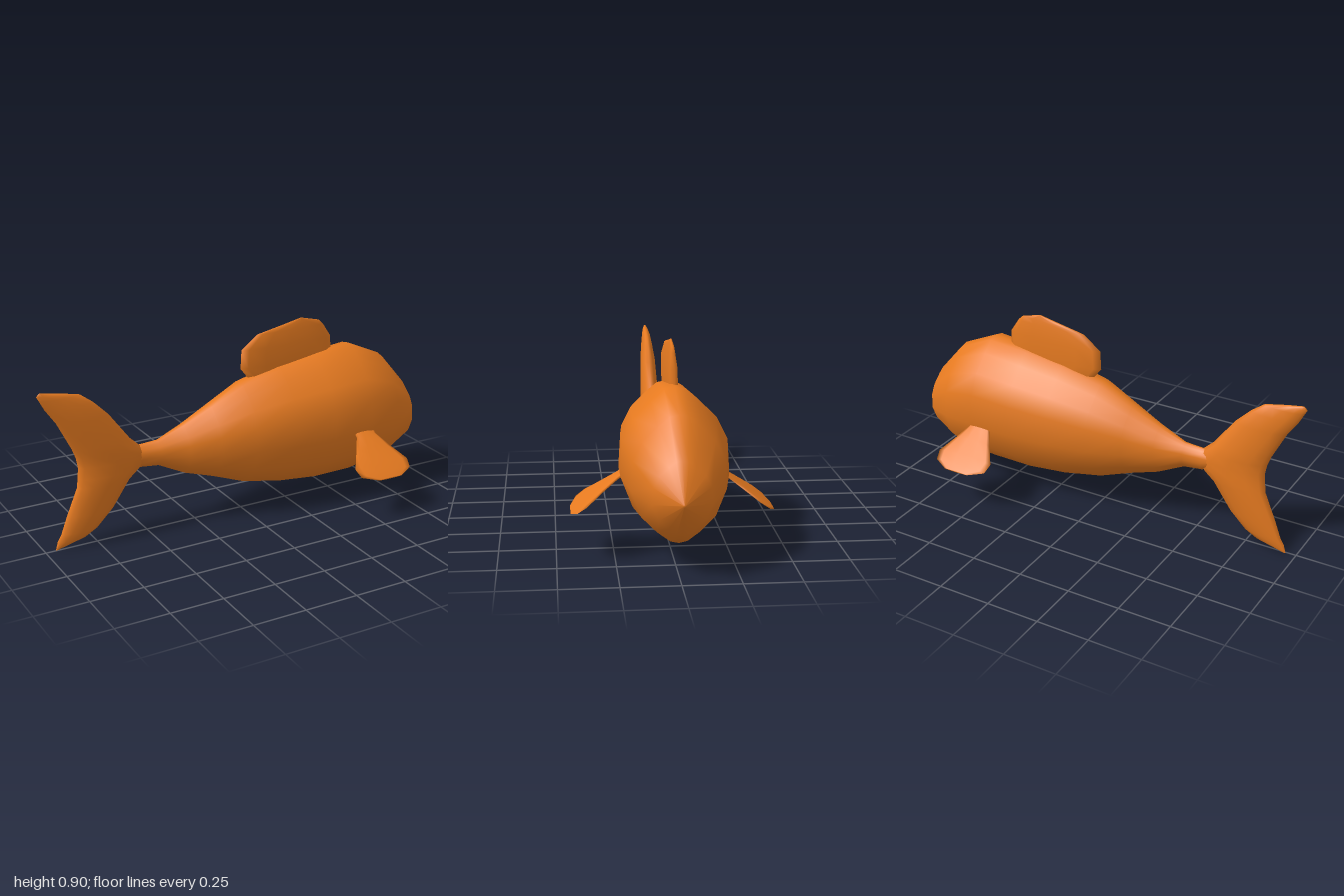
import * as THREE from 'three';

const material = new THREE.MeshStandardMaterial({ color: 0xe67a20 });

// Smooth skin through a list of rings (arrays of Vector3), closed at both ends.
function loft(name, rings) {
  const n = rings[0].length, last = rings.length - 1;
  const points = rings.flat(), index = [];
  for (let i = 0; i < last; i++) {
    for (let j = 0; j < n; j++) {
      const a = i * n + j, b = i * n + (j + 1) % n;
      index.push(a, b, a + n, b, b + n, a + n);
    }
  }
  for (const i of [0, last]) {
    const centre = new THREE.Vector3();
    rings[i].forEach(p => centre.addScaledVector(p, 1 / n));
    const c = points.push(centre) - 1;
    for (let j = 0; j < n; j++) {
      const a = i * n + j, b = i * n + (j + 1) % n;
      if (i === 0) index.push(c, b, a); else index.push(c, a, b);
    }
  }
  const geometry = new THREE.BufferGeometry().setFromPoints(points);
  geometry.setIndex(index);
  geometry.computeVertexNormals();
  const mesh = new THREE.Mesh(geometry, material);
  mesh.name = name;
  return mesh;
}

// Unit ring of a fin: power 1 is an ellipse, smaller is boxier.
function finRing(sides, power, place) {
  return Array.from({ length: sides }, (_, j) => {
    const a = j / sides * Math.PI * 2, c = Math.cos(a), s = Math.sin(a);
    return place(c, Math.sign(s) * Math.abs(s) ** power);
  });
}

// Upright fin from rows of [y, rear x, front x, half thickness].
function uprightFin(name, rows, z, power) {
  return loft(name, rows.map(([y, x0, x1, t]) => finRing(12, power, (c, s) =>
    new THREE.Vector3((x0 + x1) / 2 + c * (x1 - x0) / 2, y, z - s * t))));
}

// Body: one cross-section scaled along the length
function body() {
  const half = [[0, 1], [0.2, 0.97], [0.44, 0.82], [0.76, 0.59], [0.96, 0.3],
    [1, -0.16], [0.77, -0.59], [0.46, -0.82], [0.18, -0.97], [0, -1]];
  const section = [...half, ...half.slice(1, -1).reverse().map(([w, h]) => [-w, h])];
  // x, bottom, top, half width
  const stations = [
    [-0.6, 0.35, 0.41, 0.025], [-0.52, 0.32, 0.43, 0.034], [-0.43, 0.31, 0.435, 0.04],
    [-0.3, 0.245, 0.49, 0.083], [-0.16, 0.2, 0.56, 0.13], [0, 0.14, 0.64, 0.183],
    [0.2, 0.1, 0.69, 0.213], [0.4, 0.08, 0.72, 0.23], [0.6, 0.083, 0.74, 0.235],
    [0.78, 0.11, 0.66, 0.2], [0.92, 0.19, 0.5, 0.125], [0.995, 0.328, 0.34, 0.005],
  ];
  return loft('body', stations.map(([x, y0, y1, w]) => section.map(([u, v]) =>
    new THREE.Vector3(x, (y0 + y1) / 2 + v * (y1 - y0) / 2, -0.01 + u * w))));
}

// Side fin: a fan sloping out and down; side is +1 or -1 along z
function sideFin(name, side) {
  // z, rear x, front x, half thickness
  const rows = [[0.15, 0.5, 0.62, 0.012], [0.235, 0.505, 0.615, 0.01], [0.3, 0.46, 0.655, 0.01],
    [0.37, 0.41, 0.705, 0.009], [0.41, 0.42, 0.695, 0.007], [0.437, 0.5, 0.63, 0.003]];
  return loft(name, rows.map(([z, x0, x1, t]) => finRing(10, 1, (c, s) =>
    new THREE.Vector3((x0 + x1) / 2 + c * (x1 - x0) / 2,
      0.355 - (z - 0.225) * 0.72 + side * s * t, side * z))));
}

export function createModel() {
  const model = new THREE.Group();
  model.name = 'fish';
  model.add(body());

  // Crescent tail
  model.add(uprightFin('tailFin', [
    [0.003, -0.95, -0.94, 0.004], [0.04, -0.94, -0.8, 0.018], [0.075, -0.92, -0.74, 0.026],
    [0.155, -0.89, -0.66, 0.036], [0.285, -0.835, -0.57, 0.045], [0.325, -0.83, -0.52, 0.045],
    [0.38, -0.825, -0.48, 0.045], [0.428, -0.833, -0.52, 0.045], [0.475, -0.85, -0.57, 0.045],
    [0.61, -0.917, -0.67, 0.038], [0.68, -0.965, -0.74, 0.028], [0.725, -0.988, -0.8, 0.02],
    [0.747, -1, -0.9, 0.012], [0.76, -0.985, -0.975, 0.004],
  ], -0.005, 1));

  // Back fin
  model.add(uprightFin('backFin', [
    [0.58, 0.09, 0.5, 0.025], [0.65, 0.05, 0.51, 0.025], [0.7, 0.01, 0.51, 0.026],
    [0.79, 0.015, 0.503, 0.025], [0.855, 0.1, 0.46, 0.014], [0.878, 0.22, 0.435, 0.01],
    [0.9, 0.33, 0.345, 0.004],
  ], -0.018, 0.6));

  model.add(sideFin('rightSideFin', 1), sideFin('leftSideFin', -1));
  return model;
}
